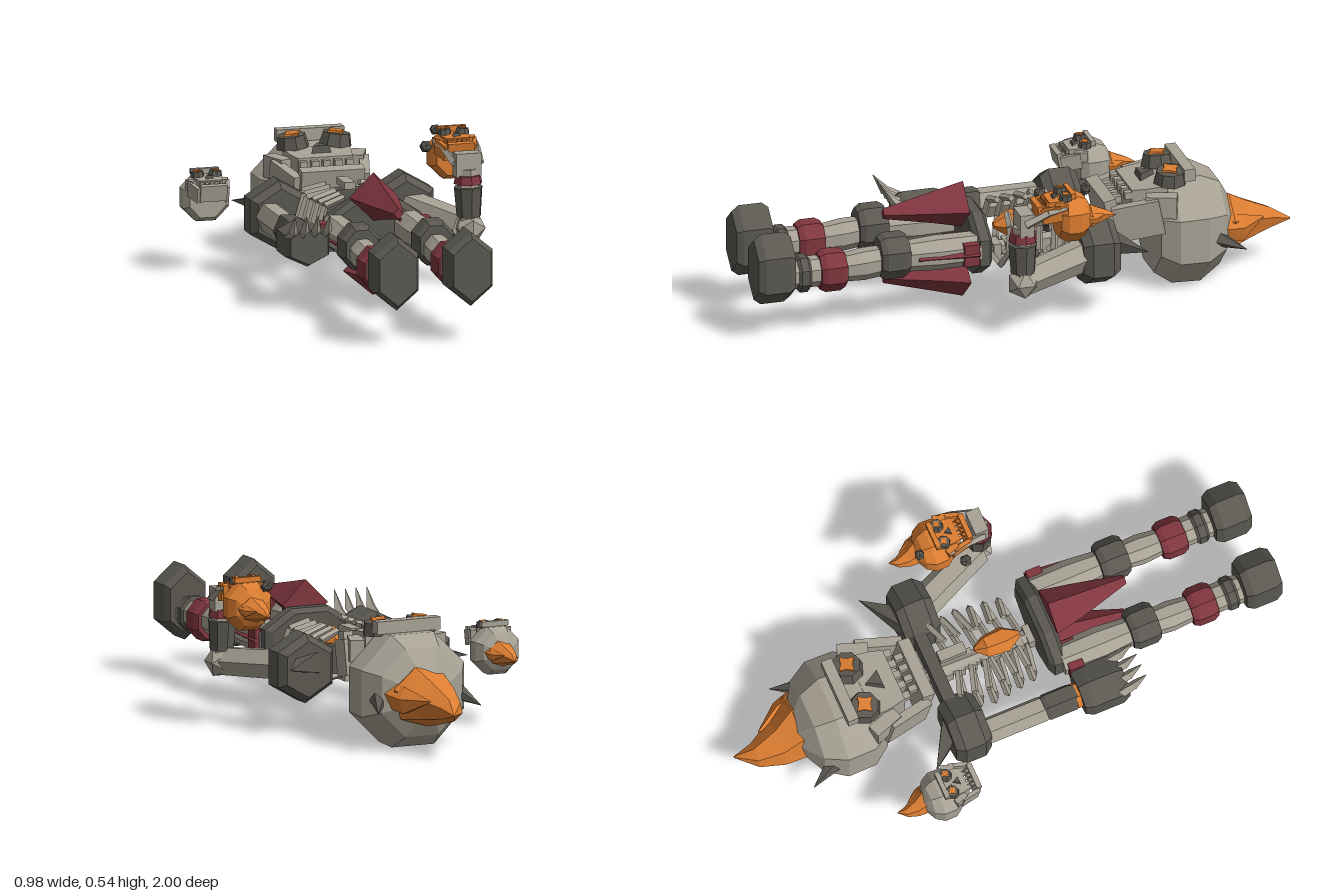
import * as THREE from 'three';

const mat = (name, color) => {
  const m = new THREE.MeshStandardMaterial({ color, flatShading: true });
  m.name = name;
  return m;
};
const V = (x, y, z) => new THREE.Vector3(x, y, z);

export function createModel() {
  const bone = mat('bone', 0xa8a295), dark = mat('darkIron', 0x5b5851);
  const red = mat('redCloth', 0x80363f), orange = mat('flameOrange', 0xdb7d31);
  const root = new THREE.Group();
  root.name = 'recliningSkeleton';
  const CX = 0.03;

  const add = (parent, name, geo, m, x = 0, y = 0, z = 0) => {
    const mesh = new THREE.Mesh(geo, m);
    mesh.name = name;
    mesh.position.set(x, y, z);
    parent.add(mesh);
    return mesh;
  };
  const box = (parent, name, m, w, h, d, x, y, z) => add(parent, name, new THREE.BoxGeometry(w, h, d), m, x, y, z);

  // Faceted solid through rings [z, cx, cy, rx, ry] with z ascending
  const loft = (parent, name, m, n, rot, rings) => {
    const p = [], idx = [];
    for (const [z, cx, cy, rx, ry] of rings)
      for (let j = 0; j < n; j++) {
        const a = rot + (j / n) * Math.PI * 2;
        p.push(cx + Math.cos(a) * rx, cy + Math.sin(a) * ry, z);
      }
    const last = rings.length - 1;
    for (let i = 0; i < last; i++)
      for (let j = 0; j < n; j++) {
        const a = i * n + j, b = i * n + (j + 1) % n;
        idx.push(a, b, b + n, a, b + n, a + n);
      }
    for (let j = 1; j < n - 1; j++) {
      idx.push(0, j + 1, j);
      idx.push(last * n, last * n + j, last * n + j + 1);
    }
    const g = new THREE.BufferGeometry();
    g.setAttribute('position', new THREE.Float32BufferAttribute(p, 3));
    g.setIndex(idx);
    g.computeVertexNormals();
    return add(parent, name, g, m);
  };
  // Chamfered prism along z
  const block = (parent, name, m, n, rot, cx, cy, rx, ry, z0, z1, c = 0.02, k = 0.85) =>
    loft(parent, name, m, n, rot, [[z0, cx, cy, rx * k, ry * k], [z0 + c, cx, cy, rx, ry],
      [z1 - c, cx, cy, rx, ry], [z1, cx, cy, rx * k, ry * k]]);
  // Tapered bar between two points
  const bar = (parent, name, m, a, b, ra, rb, n = 5) => {
    const d = b.clone().sub(a);
    const mesh = add(parent, name, new THREE.CylinderGeometry(rb, ra, d.length(), n), m);
    mesh.position.copy(a).add(b).multiplyScalar(0.5);
    mesh.quaternion.setFromUnitVectors(V(0, 1, 0), d.normalize());
    return mesh;
  };

  // Skull with its face up (+y) and its crown toward -z
  const star = new THREE.Shape();
  for (let i = 0; i < 8; i++) {
    const r = i % 2 ? 0.021 : 0.038, a = (i / 8) * Math.PI * 2 + 0.4;
    star[i ? 'lineTo' : 'moveTo'](Math.cos(a) * r, Math.sin(a) * r);
  }
  const starGeo = new THREE.ExtrudeGeometry(star, { depth: 0.008, bevelEnabled: false });
  starGeo.rotateX(-Math.PI / 2);

  const skull = (name, m, x, y, z, scale, horns) => {
    const g = new THREE.Group();
    g.name = name;
    g.position.set(x, y, z);
    g.scale.setScalar(scale);
    root.add(g);
    loft(g, 'cranium', m, 8, Math.PI / 8, [[-0.175, 0, 0, 0.08, 0.08], [-0.125, 0, 0.005, 0.17, 0.17],
      [-0.05, 0, 0, 0.216, 0.216], [0.055, 0, 0, 0.214, 0.212], [0.115, 0, 0.01, 0.17, 0.18]]);
    // Flame on the crown
    loft(g, 'flame', orange, 6, 0.3, [[-0.4, 0.01, -0.035, 0.003, 0.003], [-0.33, -0.015, -0.03, 0.045, 0.04],
      [-0.24, -0.005, -0.02, 0.085, 0.075], [-0.165, 0.02, -0.005, 0.115, 0.11], [-0.11, 0.02, 0, 0.09, 0.09]]);
    loft(g, 'flameLobe', orange, 5, 0.2, [[-0.29, 0.05, 0, 0.003, 0.003], [-0.2, 0.095, -0.01, 0.035, 0.05],
      [-0.13, 0.11, 0, 0.04, 0.05]]);
    // Brow, eyes, nose
    box(g, 'brow', m, 0.245, 0.045, 0.04, 0, 0.222, 0);
    for (const s of [-1, 1]) {
      const eye = add(g, 'eyeSocket', new THREE.CylinderGeometry(0.05, 0.06, 0.045, 8), dark, s * 0.08, 0.212, 0.06);
      eye.rotation.z = -s * 0.12;
      add(g, 'eyeGlow', starGeo, orange, s * 0.08, 0.235, 0.06).rotation.z = -s * 0.12;
      const cheek = box(g, 'cheekbone', m, 0.05, 0.08, 0.11, s * 0.145, 0.13, 0.11);
      cheek.rotation.y = -s * 0.35;
      const ramus = box(g, 'jawSide', m, 0.035, 0.13, 0.17, s * 0.142, 0.085, 0.195);
      ramus.rotation.set(0.2, -s * 0.25, 0);
      if (horns) bar(g, 'horn', dark, V(s * 0.15, -0.01, -0.08), V(s * 0.2, -0.05, -0.185), 0.035, 0.001);
    }
    add(g, 'nose', new THREE.CylinderGeometry(0.035, 0.045, 0.04, 3), dark, 0, 0.19, 0.135).rotation.y = Math.PI;
    loft(g, 'upperJaw', m, 4, Math.PI / 4, [[0.08, 0, 0.1, 0.17, 0.13], [0.15, 0, 0.1, 0.16, 0.12],
      [0.205, 0, 0.11, 0.14, 0.1]]);
    const chin = box(g, 'chin', m, 0.23, 0.14, 0.045, 0, 0.09, 0.277);
    chin.rotation.x = 0.2;
    for (let i = 0; i < 5; i++) {
      const tx = (i - 2) * 0.042;
      box(g, 'upperTooth', m, 0.026, 0.025, 0.03, tx, 0.16, 0.215);
      if (i < 4) box(g, 'lowerTooth', m, 0.022, 0.025, 0.03, tx + 0.021, 0.14, 0.25);
    }
    return g;
  };
  skull('head', bone, CX, 0.2, -0.6, 1, true);
  skull('floatingSkull', bone, -0.41, 0.265, -0.4, 0.42, false);
  skull('burningSkull', orange, 0.4, 0.435, -0.085, 0.42, false);
  add(root, 'ember', new THREE.IcosahedronGeometry(0.023), dark, 0.285, 0.485, -0.01);
  add(root, 'ember', new THREE.IcosahedronGeometry(0.02), dark, 0.36, 0.51, -0.155);

  // Spine, collar, ribs and heart
  bar(root, 'spine', bone, V(CX + 0.01, 0.18, 0.17), V(CX + 0.01, 0.21, -0.5), 0.028, 0.032, 6);
  for (let i = 0; i < 8; i++) box(root, 'vertebra', bone, 0.07, 0.055, 0.028, CX + 0.01, 0.185, -0.19 + i * 0.045);
  box(root, 'collar', dark, 0.29, 0.1, 0.045, CX, 0.25, -0.24);
  box(root, 'sternum', bone, 0.04, 0.025, 0.1, CX + 0.01, 0.335, -0.17);
  for (const s of [-1, 1])
    for (let i = 0; i < 6; i++) {
      const z = -0.19 + i * 0.052, w = 0.18 - Math.abs(i - 2) * 0.008;
      const pts = [V(CX, 0.18, z + 0.035), V(CX + s * w * 0.75, 0.165, z + 0.02), V(CX + s * w, 0.23, z),
        V(CX + s * w * 0.85, 0.31, z - 0.01), V(CX + s * 0.06, 0.335, z + (i < 3 ? 0.015 : -0.02))];
      for (let k = 0; k < 4; k++) bar(root, 'rib', bone, pts[k], pts[k + 1], 0.013, 0.012, 4);
    }
  loft(root, 'heart', orange, 6, 0, [[-0.085, 0.04, 0.27, 0.008, 0.008], [-0.045, 0.035, 0.27, 0.04, 0.045],
    [0.03, 0.035, 0.27, 0.048, 0.05], [0.085, 0.035, 0.27, 0.012, 0.012]]);

  // Pelvis belt and loincloth
  block(root, 'belt', dark, 8, Math.PI / 8, CX + 0.01, 0.245, 0.19, 0.125, 0.135, 0.2, 0.015);
  loft(root, 'frontCloth', red, 4, 0, [[0.195, 0.035, 0.365, 0.088, 0.087], [0.3, 0.036, 0.366, 0.066, 0.062],
    [0.49, 0.042, 0.366, 0.018, 0.02]]);
  loft(root, 'backCloth', red, 4, 0, [[0.195, 0.032, 0.105, 0.108, 0.092], [0.3, 0.025, 0.108, 0.07, 0.066],
    [0.48, 0.01, 0.11, 0.018, 0.022]]);

  // Legs
  for (const x of [-0.105, 0.165]) {
    const s = x < 0 ? -1 : 1, q = Math.PI / 8, h = Math.PI / 6;
    loft(root, 'hipCloth', red, 4, 0, [[0.19, x + s * 0.015, 0.25, 0.062, 0.045], [0.25, x + s * 0.015, 0.25, 0.058, 0.036],
      [0.41, x + s * 0.05, 0.25, 0.008, 0.008]]);
    box(root, 'hipBand', red, 0.115, 0.08, 0.055, x + s * 0.01, 0.25, 0.22);
    loft(root, 'thigh', bone, 8, q, [[0.18, x, 0.25, 0.058, 0.06], [0.33, x, 0.25, 0.062, 0.062], [0.46, x, 0.25, 0.05, 0.055]]);
    block(root, 'kneeGuard', dark, 8, q, x, 0.26, 0.075, 0.085, 0.44, 0.545);
    loft(root, 'shin', bone, 8, q, [[0.53, x, 0.245, 0.048, 0.055], [0.6, x, 0.24, 0.054, 0.058], [0.69, x, 0.235, 0.044, 0.05]]);
    block(root, 'shinBand', red, 8, q, x, 0.233, 0.07, 0.078, 0.67, 0.765);
    block(root, 'ankle', bone, 8, q, x, 0.235, 0.052, 0.056, 0.75, 0.88);
    block(root, 'ankleRing', dark, 8, q, x, 0.233, 0.06, 0.07, 0.8, 0.847, 0.01);
    block(root, 'boot', dark, 6, h, x, 0.265, 0.092, 0.133, 0.865, 1, 0.025);
  }

  // Shoulders
  for (const s of [-1, 1]) {
    const x = CX + s * 0.228;
    block(root, 'shoulderGuard', dark, 6, Math.PI / 6, x, 0.23, 0.123, 0.125, -0.29, -0.155, 0.03, 0.8);
    bar(root, 'shoulderSpike', dark, V(x - s * 0.02, 0.25, -0.26), V(CX + s * 0.345, 0.25, -0.38), 0.055, 0.001, 4);
  }

  // Right arm, hanging beside the body, with a clawed gauntlet
  block(root, 'upperArm', bone, 6, 0, -0.245, 0.235, 0.048, 0.055, -0.18, 0.08, 0.03);
  block(root, 'forearmGuard', dark, 6, 0, -0.245, 0.235, 0.05, 0.065, 0.055, 0.18, 0.015);
  block(root, 'wristBand', orange, 6, 0, -0.245, 0.235, 0.048, 0.055, 0.165, 0.205, 0.008);
  block(root, 'gauntlet', dark, 6, Math.PI / 6, -0.245, 0.237, 0.092, 0.077, 0.19, 0.36, 0.03);
  for (let i = 0; i < 4; i++) {
    const x = -0.31 + i * 0.042;
    bar(root, 'claw', bone, V(x, 0.27, 0.33), V(x, 0.3, 0.38), 0.019, 0.016, 4);
    bar(root, 'claw', bone, V(x, 0.295, 0.375), V(x - 0.004, 0.36, 0.42), 0.018, 0.001, 4);
  }

  // Left arm, bent upward at the elbow
  bar(root, 'upperArm', bone, V(0.28, 0.23, -0.18), V(0.4, 0.21, 0.08), 0.06, 0.055, 6);
  add(root, 'elbow', new THREE.IcosahedronGeometry(0.06), bone, 0.415, 0.21, 0.09);
  bar(root, 'forearm', bone, V(0.413, 0.2, 0.09), V(0.41, 0.42, 0.09), 0.04, 0.036, 6);
  bar(root, 'bracer', dark, V(0.413, 0.25, 0.09), V(0.411, 0.355, 0.09), 0.044, 0.052, 8);
  bar(root, 'wristRing', red, V(0.41, 0.368, 0.09), V(0.41, 0.398, 0.09), 0.052, 0.046, 8);
  box(root, 'palm', bone, 0.09, 0.085, 0.05, 0.408, 0.435, 0.085);
  for (const s of [-1, 1]) {
    bar(root, 'finger', bone, V(0.408 + s * 0.045, 0.44, 0.09), V(0.405 + s * 0.06, 0.48, 0.01), 0.016, 0.013, 4);
    bar(root, 'fingertip', bone, V(0.405 + s * 0.06, 0.48, 0.01), V(0.4 + s * 0.075, 0.495, -0.055), 0.013, 0.006, 4);
  }
  return root;
}
